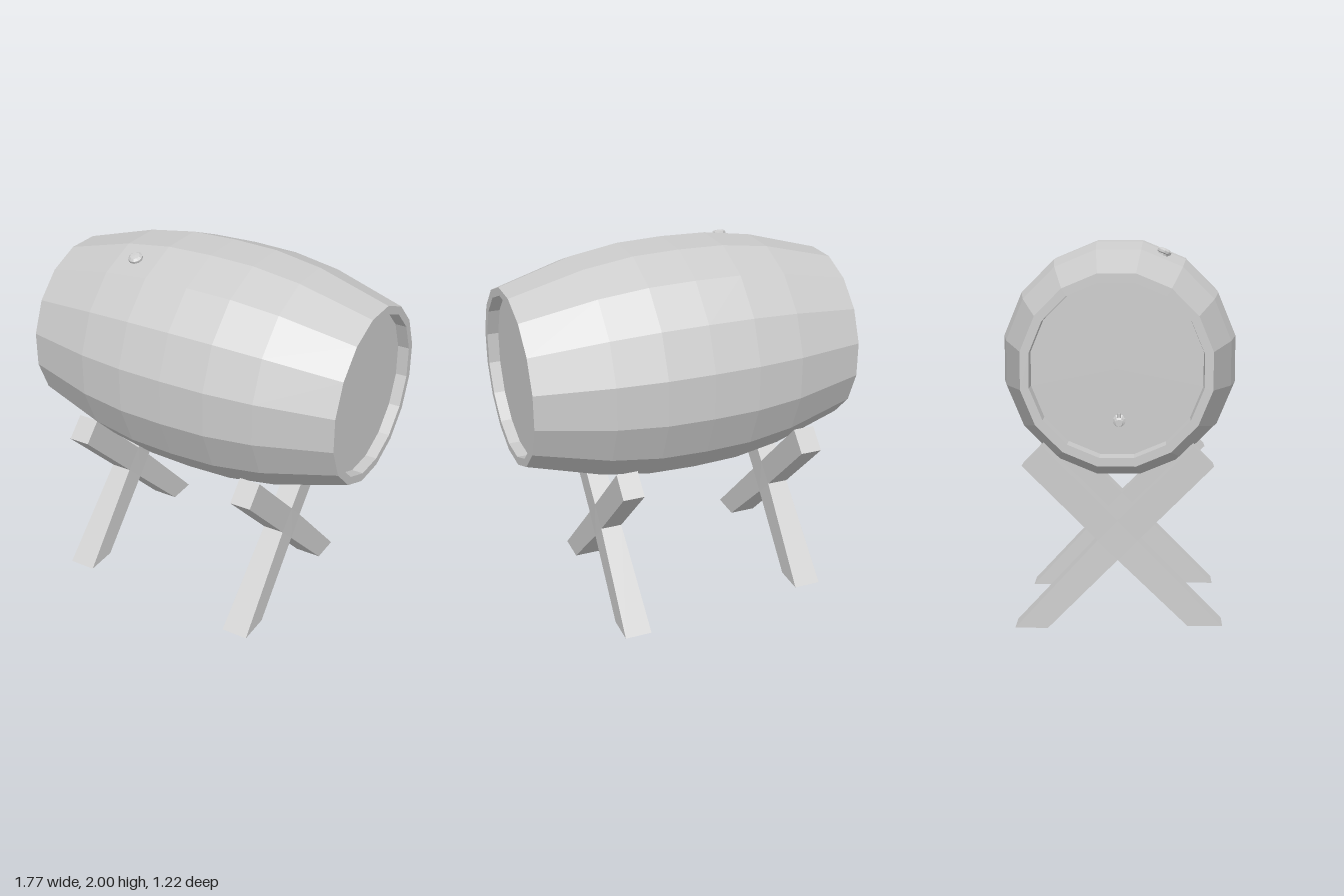
import * as THREE from 'three';

const SIDES = 16;
const AXIS_Y = 1.39;

export function createModel() {
  const model = new THREE.Group();
  const material = new THREE.MeshStandardMaterial({ color: 0xcccccc, flatShading: true });

  function add(name, geometry, parent = model) {
    const mesh = new THREE.Mesh(geometry, material);
    mesh.name = name;
    parent.add(mesh);
    return mesh;
  }

  // Lathe with flats facing up and sideways; radii are given to the flats
  function lathe(points, sides) {
    const k = 1 / Math.cos(Math.PI / sides);
    const profile = points.map(([r, y]) => new THREE.Vector2(r * k, y));
    return new THREE.LatheGeometry(profile, sides, Math.PI / sides);
  }

  // Barrel: bulging staves, rims and recessed heads in one profile along x
  const barrel = add('barrel', lathe([
    [0, -0.775], [0.415, -0.775], [0.415, -0.885],
    [0.457, -0.885], [0.565, -0.5], [0.603, -0.245], [0.61, 0], [0.603, 0.245], [0.565, 0.5], [0.457, 0.885],
    [0.415, 0.885], [0.415, 0.825], [0, 0.825],
  ], SIDES).rotateZ(-Math.PI / 2));
  barrel.position.y = AXIS_Y;

  // Bung, standing square on the first stave in front of the top
  const tilt = (2 * Math.PI) / SIDES;
  const bung = add('bung', lathe([
    [0.026, -0.02], [0.026, 0.004], [0.036, 0.008], [0.036, 0.02], [0.024, 0.03], [0, 0.032],
  ], 10));
  bung.position.set(-0.378, AXIS_Y + 0.584 * Math.cos(tilt), 0.584 * Math.sin(tilt));
  bung.rotation.x = tilt;

  // Tap, low on the deeper head
  const tap = new THREE.Group();
  tap.name = 'tap';
  tap.position.set(-0.775, 1.14, 0.01);
  model.add(tap);
  add('tapSpout', lathe([
    [0.03, -0.005], [0.03, 0.015], [0.014, 0.022], [0.014, 0.045], [0.022, 0.05],
    [0.022, 0.068], [0.013, 0.074], [0.016, 0.1], [0, 0.1],
  ], 10).rotateZ(Math.PI / 2), tap);
  add('tapHandle', new THREE.CylinderGeometry(0.009, 0.009, 0.06, 8), tap).position.set(-0.059, 0.012, 0);

  // Crossed stand: X outline in the z-y plane, thicker towards the feet
  function standGeometry() {
    const outline = [
      [0, 0.35], [0.35, 0.015], [0.525, 0.015], [0.1, 0.45],
      [0.475, 0.825], [0.375, 0.925], [0, 0.55], [-0.375, 0.925], [-0.475, 0.825],
      [-0.1, 0.45], [-0.515, 0], [-0.35, 0],
    ];
    const shape = new THREE.Shape(outline.map(([z, y]) => new THREE.Vector2(-z, y)));
    const geometry = new THREE.ExtrudeGeometry(shape, { depth: 0.116, bevelEnabled: false });
    geometry.translate(0, 0, -0.058).rotateY(Math.PI / 2);
    const p = geometry.attributes.position;
    for (let i = 0; i < p.count; i++) {
      const flare = Math.max(0, 0.45 - p.getY(i)) / 0.45;
      p.setX(i, p.getX(i) * (1 + 0.27 * flare));
    }
    geometry.computeVertexNormals();
    return geometry;
  }
  const stand = standGeometry();
  add('rightStand', stand).position.set(-0.63, 0.072, 0);
  add('leftStand', stand).position.set(0.386, 0, 0);

  return model;
}
